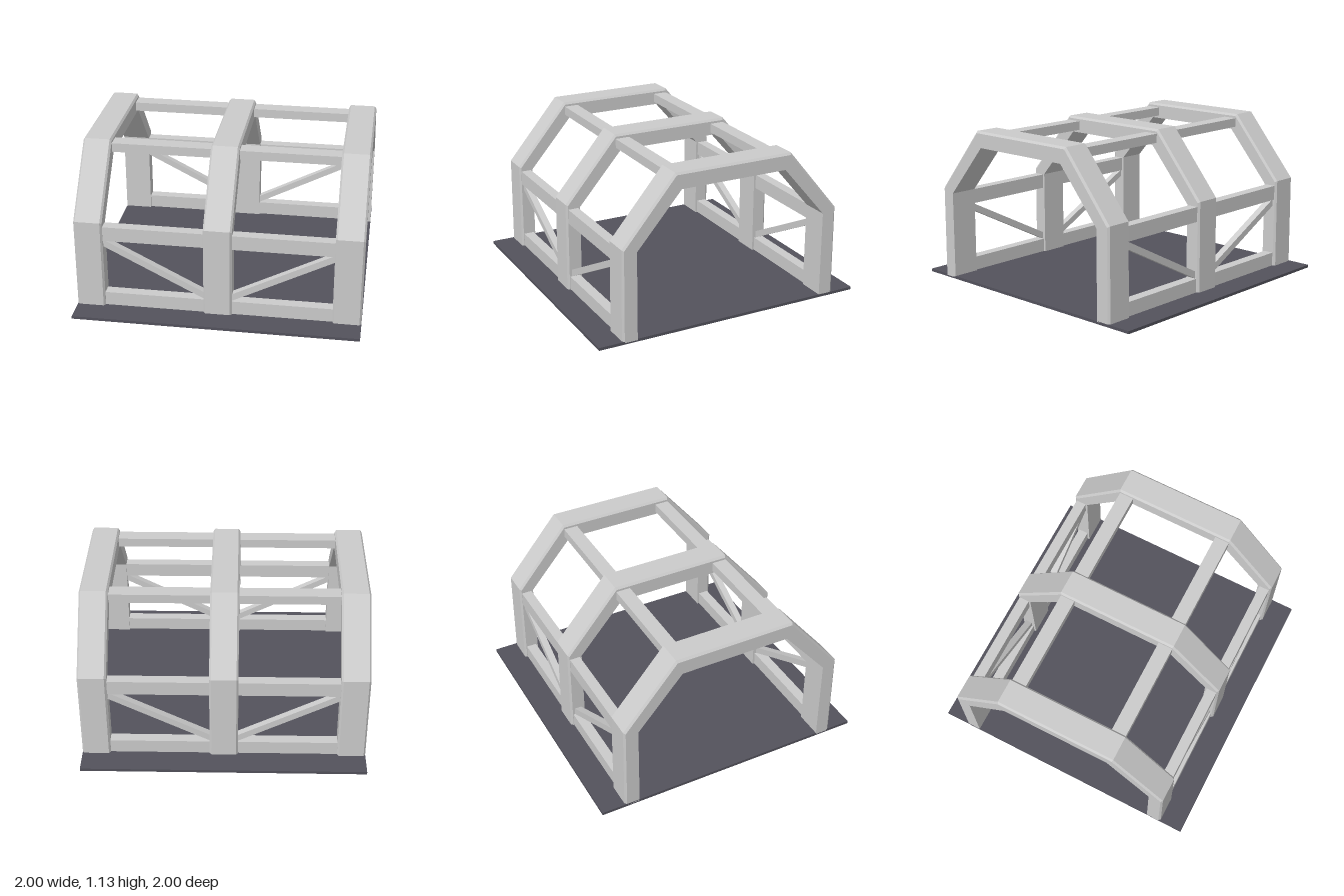
import * as THREE from 'three';

const grey = new THREE.MeshStandardMaterial({ color: 0xcccccc, flatShading: true });
const dark = new THREE.MeshStandardMaterial({ color: 0x53525c, flatShading: true });

// Half profile of an arch, foot to roof, as [z, y]: inner edge, chamfer edge, outer face
const HALF = [
  { inner: [0.72, 0.01], side: [0.815, 0.01], outer: [0.83, 0.01] },
  { inner: [0.72, 0.64], side: [0.812, 0.662], outer: [0.825, 0.67] },
  { inner: [0.395, 1.015], side: [0.432, 1.115], outer: [0.439, 1.13] },
];

// Sweeps a chamfered section over the profile, from the front foot to the back foot
function archGeometry(w = 0.1, chamfer = 0.013) {
  const flip = ([z, y]) => [-z, y];
  const back = HALF.map((s) => ({ inner: flip(s.inner), side: flip(s.side), outer: flip(s.outer) })).reverse();
  const rings = [...HALF, ...back].map(({ inner, side, outer }) =>
    [[-w, inner], [w, inner], [w, side], [w - chamfer, outer], [chamfer - w, outer], [-w, side]]
      .map(([x, [z, y]]) => [x, y, z]));
  const n = 6;
  const index = [];
  for (let i = 0; i < rings.length - 1; i++) {
    for (let j = 0; j < n; j++) {
      const a = i * n + j, b = i * n + (j + 1) % n;
      index.push(a, a + n, b + n, a, b + n, b);
    }
  }
  // Caps at both feet
  const end = (rings.length - 1) * n;
  for (let j = 1; j < n - 1; j++) index.push(0, j, j + 1, end, end + j + 1, end + j);
  const geo = new THREE.BufferGeometry();
  geo.setAttribute('position', new THREE.Float32BufferAttribute(rings.flat(2), 3));
  geo.setIndex(index);
  const flat = geo.toNonIndexed();
  flat.computeVertexNormals();
  return flat;
}

// Slanted strut with vertical ends, rising away from the centre arch
function braceGeometry(side) {
  const pts = [[0.09, 0.115], [0.81, 0.485], [0.81, 0.537], [0.09, 0.167]];
  const shape = new THREE.Shape(pts.map(([x, y]) => new THREE.Vector2(x * side, y)));
  const geo = new THREE.ExtrudeGeometry(shape, { depth: 0.05, bevelEnabled: false });
  return geo.translate(0, 0, -0.025);
}

export function createModel() {
  const model = new THREE.Group();
  model.name = 'archedFrame';

  const add = (name, geo, mat, x, y, z) => {
    const mesh = new THREE.Mesh(geo, mat);
    mesh.name = name;
    mesh.position.set(x, y, z);
    model.add(mesh);
  };

  // Floor
  add('floorPlate', new THREE.BoxGeometry(2, 0.02, 2), dark, 0, 0.01, 0);

  // Three arches
  const arch = archGeometry();
  for (const x of [-0.9, 0, 0.9]) add('arch', arch, grey, x, 0, 0);

  // Rails as [name, y low, y high, z near, z far], between each pair of arches
  const rails = [
    ['roofRail', 1.035, 1.1, 0.33, 0.435],
    ['wallRail', 0.53, 0.635, 0.735, 0.81],
    ['sillRail', 0.01, 0.12, 0.735, 0.81],
  ];
  for (const side of [-1, 1]) {
    const brace = braceGeometry(side);
    for (const face of [-1, 1]) {
      for (const [name, y0, y1, z0, z1] of rails) {
        const beam = new THREE.BoxGeometry(0.72, y1 - y0, z1 - z0);
        add(name, beam, grey, side * 0.45, (y0 + y1) / 2, (face * (z0 + z1)) / 2);
      }
      add('diagonalBrace', brace, grey, 0, 0, face * 0.772);
    }
  }
  return model;
}
